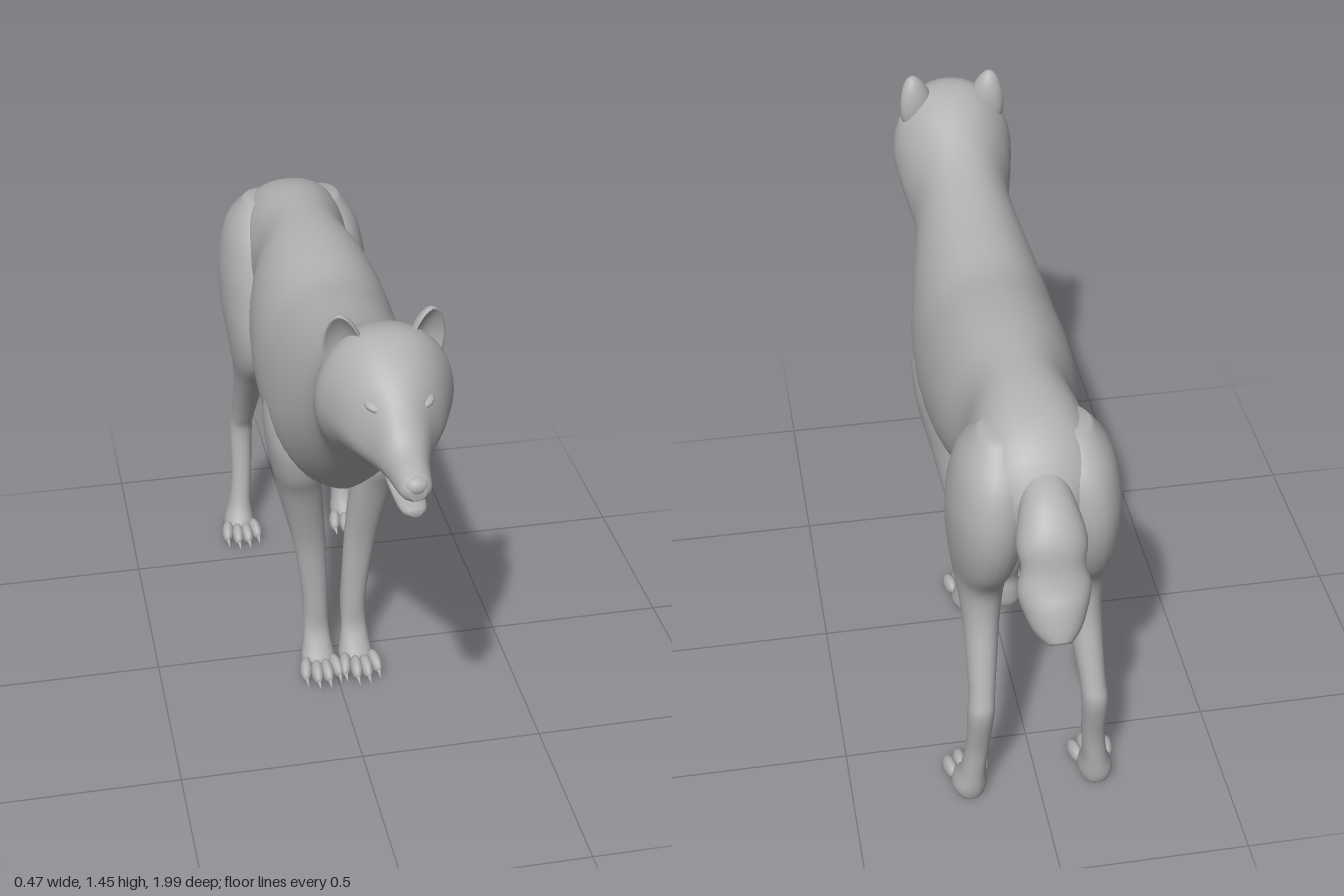
import * as THREE from 'three';

const fur = new THREE.MeshStandardMaterial({ color: 0xb0b0b0 });
fur.name = 'greyFur';

function mesh(geometry, name, parent) {
  const m = new THREE.Mesh(geometry, fur);
  m.name = name;
  parent.add(m);
  return m;
}

// Catmull-Rom interpolation of whole rows of numbers
function smoothRows(rows, sub) {
  const out = [], last = rows.length - 1;
  for (let i = 0; i < last; i++) {
    const a = rows[Math.max(i - 1, 0)], b = rows[i], c = rows[i + 1], d = rows[Math.min(i + 2, last)];
    for (let k = 0; k < sub; k++) {
      const t = k / sub;
      out.push(b.map((_, j) => 0.5 * (2 * b[j] + (c[j] - a[j]) * t +
        (2 * a[j] - 5 * b[j] + 4 * c[j] - d[j]) * t * t +
        (3 * b[j] - a[j] - 3 * c[j] + d[j]) * t * t * t)));
    }
  }
  out.push(rows[last]);
  return out;
}

// Closed skin over rings: [x, y, z, half width, reach up, reach down, tilt, lower taper]
// tilt 0 = upright ring, tilt PI/2 = level ring whose "up" points to +z
function loft(rows, n = 32, sub = 4) {
  const rings = smoothRows(rows, sub), pos = [], idx = [];
  for (const [x, y, z, w, up, down, tilt, taper] of rings) {
    for (let i = 0; i < n; i++) {
      const a = i / n * Math.PI * 2, c = Math.cos(a), s = Math.sin(a);
      const p = s < 0 ? taper : 0.9;
      const v = s * (s > 0 ? up : down);
      pos.push(x + w * Math.sign(c) * Math.pow(Math.abs(c), p), y + v * Math.cos(tilt), z + v * Math.sin(tilt));
    }
  }
  const ringCount = rings.length;
  for (let r = 0; r < ringCount - 1; r++) {
    for (let i = 0; i < n; i++) {
      const a = r * n + i, b = r * n + (i + 1) % n;
      idx.push(a, b, a + n, b, b + n, a + n);
    }
  }
  const first = rings[0], end = rings[ringCount - 1], c0 = ringCount * n;
  pos.push(first[0], first[1], first[2], end[0], end[1], end[2]);
  for (let i = 0; i < n; i++) {
    const j = (i + 1) % n, e = (ringCount - 1) * n;
    idx.push(c0, j, i, c0 + 1, e + i, e + j);
  }
  // turn the skin outwards if its volume is negative
  const P = (k) => new THREE.Vector3().fromArray(pos, k * 3);
  let volume = 0;
  for (let k = 0; k < idx.length; k += 3) volume += P(idx[k]).dot(P(idx[k + 1]).cross(P(idx[k + 2])));
  if (volume < 0) idx.reverse();
  const g = new THREE.BufferGeometry();
  g.setAttribute('position', new THREE.Float32BufferAttribute(pos, 3));
  g.setIndex(idx);
  g.computeVertexNormals();
  return g;
}

// Upright ring: z, top, bottom, half width, height of widest point, lower taper
const slice = ([z, top, bottom, w, mid, taper = 1]) => [0, mid, z, w, top - mid, mid - bottom, 0, taper];
// Level ring: y, x, front z, back z, half width
const level = (side) => ([y, x, f, b, w]) => [x * side, y, (f + b) / 2, w, (f - b) / 2, (f - b) / 2, Math.PI / 2, 0.9];

const bodyRows = [
  [0.995, 1.195, 1.16, 0.02, 1.18], [0.98, 1.212, 1.15, 0.036, 1.18], [0.95, 1.225, 1.145, 0.043, 1.18],
  [0.89, 1.25, 1.135, 0.053, 1.185], [0.83, 1.325, 1.125, 0.076, 1.2], [0.77, 1.378, 1.115, 0.118, 1.225],
  [0.7, 1.415, 1.09, 0.15, 1.235], [0.64, 1.42, 1.05, 0.168, 1.23], [0.57, 1.395, 1.0, 0.158, 1.19],
  [0.48, 1.34, 0.93, 0.138, 1.13], [0.4, 1.3, 0.87, 0.142, 1.08], [0.28, 1.265, 0.76, 0.168, 1.0, 1.1],
  [0.15, 1.24, 0.655, 0.192, 0.93, 1.25], [0, 1.22, 0.63, 0.2, 0.92, 1.3], [-0.15, 1.235, 0.665, 0.197, 0.95, 1.1],
  [-0.28, 1.245, 0.72, 0.18, 0.98], [-0.42, 1.245, 0.81, 0.142, 1.02], [-0.55, 1.24, 0.85, 0.15, 1.05],
  [-0.66, 1.212, 0.88, 0.155, 1.05], [-0.74, 1.16, 0.9, 0.13, 1.04], [-0.79, 1.09, 0.95, 0.07, 1.03],
];
const jawRows = [
  [0.78, 1.15, 1.118, 0.04, 1.135], [0.85, 1.15, 1.115, 0.042, 1.135], [0.92, 1.138, 1.103, 0.036, 1.12],
  [0.965, 1.133, 1.1, 0.029, 1.117], [0.985, 1.13, 1.11, 0.014, 1.12],
];
const frontLegRows = [
  [1.0, 0.14, 0.11, 0.02, 0.03], [0.9, 0.148, 0.155, -0.005, 0.052], [0.8, 0.138, 0.175, -0.018, 0.062],
  [0.7, 0.118, 0.16, -0.015, 0.064], [0.62, 0.102, 0.125, -0.008, 0.06], [0.5, 0.084, 0.09, -0.003, 0.052],
  [0.4, 0.071, 0.07, 0, 0.045], [0.28, 0.06, 0.064, -0.004, 0.039], [0.19, 0.055, 0.064, -0.014, 0.037],
  [0.12, 0.055, 0.066, 0.014, 0.036], [0.07, 0.055, 0.09, 0.015, 0.042], [0.03, 0.055, 0.115, 0.018, 0.049],
  [0.008, 0.055, 0.11, 0.025, 0.043],
];
const hindLegRows = [
  [1.18, 0.085, -0.57, -0.68, 0.05], [1.1, 0.1, -0.49, -0.765, 0.088], [1.0, 0.112, -0.45, -0.797, 0.1],
  [0.9, 0.118, -0.43, -0.792, 0.098], [0.8, 0.123, -0.42, -0.755, 0.086], [0.7, 0.128, -0.45, -0.69, 0.067],
  [0.6, 0.132, -0.535, -0.69, 0.05], [0.5, 0.138, -0.61, -0.72, 0.041], [0.4, 0.145, -0.67, -0.755, 0.034],
  [0.34, 0.15, -0.69, -0.768, 0.035], [0.2, 0.155, -0.67, -0.736, 0.031], [0.1, 0.165, -0.645, -0.728, 0.034],
  [0.04, 0.172, -0.61, -0.724, 0.047], [0.008, 0.172, -0.62, -0.715, 0.04],
];
// Tail: y, z, half width, half thickness, tilt
const tailRows = [
  [1.1, -0.72, 0.045, 0.04, -0.5], [1.06, -0.79, 0.068, 0.062, -0.7], [1.0, -0.85, 0.086, 0.066, -0.95],
  [0.945, -0.875, 0.078, 0.054, -1.25], [0.89, -0.888, 0.09, 0.064, -1.15], [0.84, -0.915, 0.078, 0.068, -0.95],
  [0.8, -0.95, 0.055, 0.05, -0.85], [0.782, -0.978, 0.026, 0.024, -0.8],
].map(([y, z, w, t, tilt]) => [0, y, z, w, t, t, tilt, 0.9]);

// Toes and claws, placed ahead of the ankle
function addToes(parent, x, z, name) {
  const toes = new THREE.Group();
  toes.name = name;
  toes.position.set(x, 0, z);
  for (const k of [-1.5, -0.5, 0.5, 1.5]) {
    const ahead = Math.abs(k) > 1 ? 0 : 0.02;
    const toe = mesh(new THREE.SphereGeometry(1, 14, 10), 'toe', toes);
    toe.scale.set(0.018, 0.026, 0.042);
    toe.position.set(k * 0.029, 0.032, ahead);
    toe.rotation.set(0.2, k * 0.1, 0);
    const claw = mesh(new THREE.ConeGeometry(0.008, 0.036, 8), 'claw', toes);
    claw.position.set(k * 0.032, 0.021, ahead + 0.046);
    claw.rotation.x = Math.PI / 2 + 0.3;
  }
  parent.add(toes);
}

// Ear: a rounded, pointed shell with its front pressed into a hollow
function earGeometry() {
  const g = new THREE.SphereGeometry(1, 24, 20), p = g.attributes.position;
  for (let i = 0; i < p.count; i++) {
    const x = p.getX(i), y = p.getY(i), z = p.getZ(i);
    const rim = Math.hypot(x, y);
    const press = z > 0 ? 0.25 - 0.75 * (1 - rim * rim) : z;
    p.setXYZ(i, x * 0.05 * (1 - 0.22 * y), y * 0.085, (z > 0 ? Math.min(press, z) : z) * 0.036);
  }
  g.computeVertexNormals();
  return g;
}

export function createModel() {
  const model = new THREE.Group();
  model.name = 'wolf';
  const animal = new THREE.Group();
  animal.name = 'animal';
  animal.position.x = 0.013;
  model.add(animal);

  mesh(loft(bodyRows.map(slice), 40), 'headNeckAndBody', animal);
  mesh(loft(jawRows.map(slice), 24), 'lowerJaw', animal);
  mesh(loft(tailRows, 28), 'tail', animal);

  // Nose pad
  const nose = mesh(new THREE.SphereGeometry(1, 18, 12), 'nose', animal);
  nose.scale.set(0.029, 0.023, 0.022);
  nose.position.set(0, 1.191, 0.977);

  for (const s of [-1, 1]) {
    const side = s > 0 ? 'left' : 'right';
    mesh(loft(frontLegRows.map(level(s)), 24), side + 'FrontLeg', animal);
    mesh(loft(hindLegRows.map(level(s)), 28), side + 'HindLeg', animal);
    addToes(animal, s * 0.057, 0.125, side + 'FrontToes');
    addToes(animal, s * 0.172, -0.612, side + 'HindToes');

    const ear = mesh(earGeometry(), side + 'Ear', animal);
    ear.position.set(s * 0.1, 1.375, 0.64);
    ear.rotation.set(0.1, s * 0.35, -s * 0.14);

    // Eye and brow
    const eye = mesh(new THREE.SphereGeometry(0.014, 14, 10), side + 'Eye', animal);
    eye.position.set(s * 0.055, 1.277, 0.814);
    const brow = mesh(new THREE.SphereGeometry(1, 14, 10), side + 'Brow', animal);
    brow.scale.set(0.03, 0.013, 0.025);
    brow.position.set(s * 0.055, 1.3, 0.798);
    brow.rotation.set(0, s * 0.5, s * 0.3);
  }
  return model;
}
